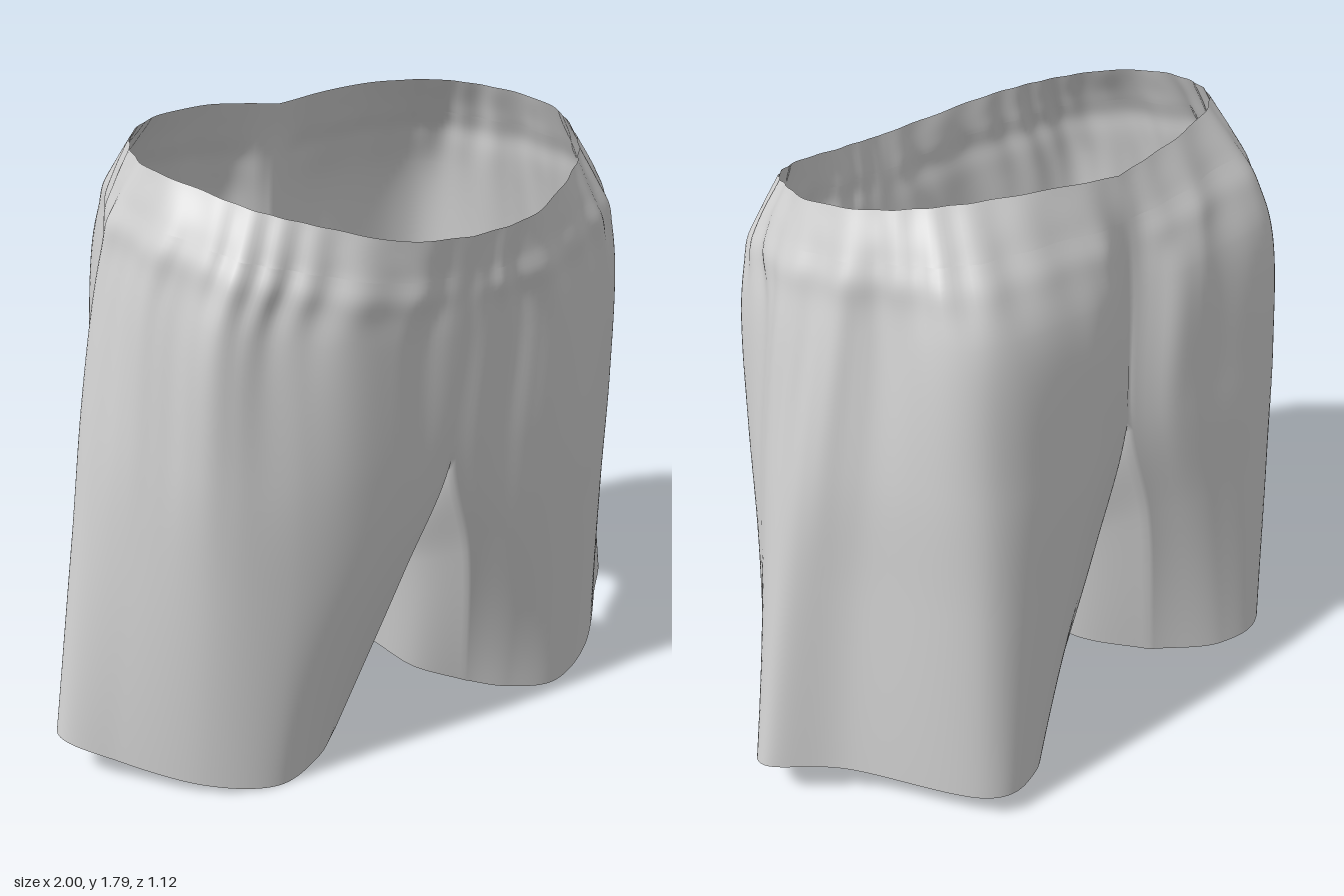
import * as THREE from 'three';
import { mergeVertices, mergeGeometries } from 'three/addons/utils/BufferGeometryUtils.js';

const NU = 144, NV = 60, FORK = 0.6;
const V = (x, y, z) => new THREE.Vector3(x, y, z);

// Half cross-sections [x, z] running front centre -> side fold -> back centre.
// f is the height between hem (0) and rim (1).
const sections = [
  { f: 1.0, p: [[0, .555], [.2, .535], [.38, .455], [.52, .345], [.61, .2], [.66, .03], [.61, -.16], [.47, -.3], [.25, -.38], [0, -.4]] },
  { f: .93, p: [[0, .54], [.2, .53], [.41, .465], [.57, .37], [.67, .22], [.71, .0], [.65, -.2], [.51, -.38], [.26, -.44], [0, -.43]] },
  { f: .82, p: [[0, .525], [.25, .515], [.47, .455], [.64, .37], [.73, .18], [.762, -.03], [.68, -.22], [.55, -.47], [.24, -.52], [0, -.45]] },
  { f: .58, p: [[0, .485], [.25, .495], [.48, .455], [.67, .36], [.78, .18], [.845, -.03], [.74, -.22], [.57, -.515], [.23, -.54], [0, -.465]] },
  { f: .36, p: [[.11, .425], [.29, .455], [.49, .43], [.68, .34], [.82, .16], [.905, -.03], [.77, -.2], [.59, -.52], [.31, -.54], [.11, -.46]] },
  { f: 0, p: [[.24, .265], [.35, .34], [.51, .38], [.7, .3], [.88, .13], [1, -.02], [.83, -.19], [.61, -.525], [.42, -.535], [.24, -.39]] },
];
const rimY = [1.59, 1.605, 1.65, 1.69, 1.73, 1.755, 1.775, 1.79, 1.785, 1.755];
const hemY = [.035, .015, .003, .03, .08, .135, .12, .09, .07, .06];
const rows = sections.map(({ f, p }) => new THREE.CatmullRomCurve3(
  p.map(([x, z], i) => V(x, THREE.MathUtils.lerp(hemY[i], rimY[i], f), z)), false, 'catmullrom', 0.5));

const columnCache = new Map();
function column(u) {
  if (!columnCache.has(u)) columnCache.set(u, new THREE.CatmullRomCurve3(rows.map(r => r.getPoint(u))));
  return columnCache.get(u);
}

// Cloth relief: elastic gathers below the rim, long soft folds, a slight puff under the band
function relief(u, t, side) {
  const w = THREE.MathUtils.smoothstep(Math.min(u, 1 - u), 0, 0.06);
  const bump = (c, s) => Math.exp(-(((t - c) / s) ** 2));
  const ph = side > 0 ? 0 : 1.3;
  const gathers = Math.sin(u * 95 + 2 * Math.sin(u * 17 + ph)) * (0.006 * bump(0.25, 0.13) + 0.003 * bump(0.05, 0.1));
  const s = Math.sin(u * 42 + 1.5 * Math.sin(u * 11 + ph) + ph);
  const folds = s * (0.4 + 0.6 * Math.abs(s)) * 0.011 * bump(0.38, 0.24);
  return w * (gathers + folds + 0.007 * bump(0.26, 0.05));
}

function outer(u, t, side) {
  const c = column(u), p = c.getPoint(t);
  const a = column(Math.max(0, u - 1 / NU)).getPoint(t), b = column(Math.min(1, u + 1 / NU)).getPoint(t);
  const n = V(a.z - b.z, 0, b.x - a.x).normalize();
  p.addScaledVector(n, relief(u, t, side));
  if ((u === 0 || u === 1) && t <= FORK + 1e-6) p.x = 0;
  p.x = Math.max(0, p.x);
  return p;
}

// Inner thigh: a patch blended between crotch seam, hem and the two leg edges
const edge = (u, s) => outer(u, FORK + (1 - FORK) * s, 1);
const seam = new THREE.CatmullRomCurve3([edge(1, 0), V(0, .74, -.24), V(0, .64, .04), V(0, .71, .27), edge(0, 0)]);
const innerHem = new THREE.CatmullRomCurve3([edge(1, 1), V(.12, .06, -.18), V(.09, .085, .03), V(.125, .065, .15), edge(0, 1)]);
function inner(w, s) {
  const mix = (a, b, k) => a.clone().lerp(b, k);
  const p = mix(seam.getPoint(w), innerHem.getPoint(w), s).add(mix(edge(1, s), edge(0, s), w));
  p.sub(mix(mix(edge(1, 0), edge(0, 0), w), mix(edge(1, 1), edge(0, 1), w), s));
  p.x = s === 0 ? 0 : Math.max(0.01 * s, p.x);
  return p;
}

// Grid surface; side -1 mirrors it across x
function grid(fn, nu, nv, side) {
  const pos = [], index = [];
  for (let j = 0; j <= nv; j++) for (let i = 0; i <= nu; i++) {
    const p = fn(i / nu, j / nv);
    pos.push(p.x * side, p.y, p.z);
  }
  for (let j = 0; j < nv; j++) for (let i = 0; i < nu; i++) {
    const a = j * (nu + 1) + i, b = a + 1, c = a + nu + 1, d = c + 1;
    if (side > 0) index.push(a, c, b, b, c, d);
    else index.push(a, b, c, b, d, c);
  }
  const g = new THREE.BufferGeometry();
  g.setAttribute('position', new THREE.Float32BufferAttribute(pos, 3));
  g.setIndex(index);
  return g;
}

function weld(parts) {
  const g = mergeVertices(mergeGeometries(parts), 1e-4);
  g.computeVertexNormals();
  return g;
}

export function createModel() {
  const group = new THREE.Group();
  group.name = 'shorts';
  const cloth = new THREE.MeshStandardMaterial({ color: 0xd0d0d0, side: THREE.DoubleSide });
  cloth.name = 'light grey cloth';
  const add = (name, parts) => {
    const m = new THREE.Mesh(weld(parts), cloth);
    m.name = name;
    group.add(m);
  };
  const sides = [1, -1], bandEnd = 0.2;

  // Elastic waistband
  add('waistband', sides.map(s => grid((u, v) => outer(u, v * bandEnd, s), NU, NV * bandEnd, s)));

  // Seat and both legs, joined along the centre seam
  add('seatAndLegs', sides.flatMap(s => [
    grid((u, v) => outer(u, bandEnd + v * (1 - bandEnd), s), NU, Math.round(NV * (1 - bandEnd)), s),
    grid(inner, 40, Math.round(NV * (1 - FORK)), s),
  ]));
  return group;
}
